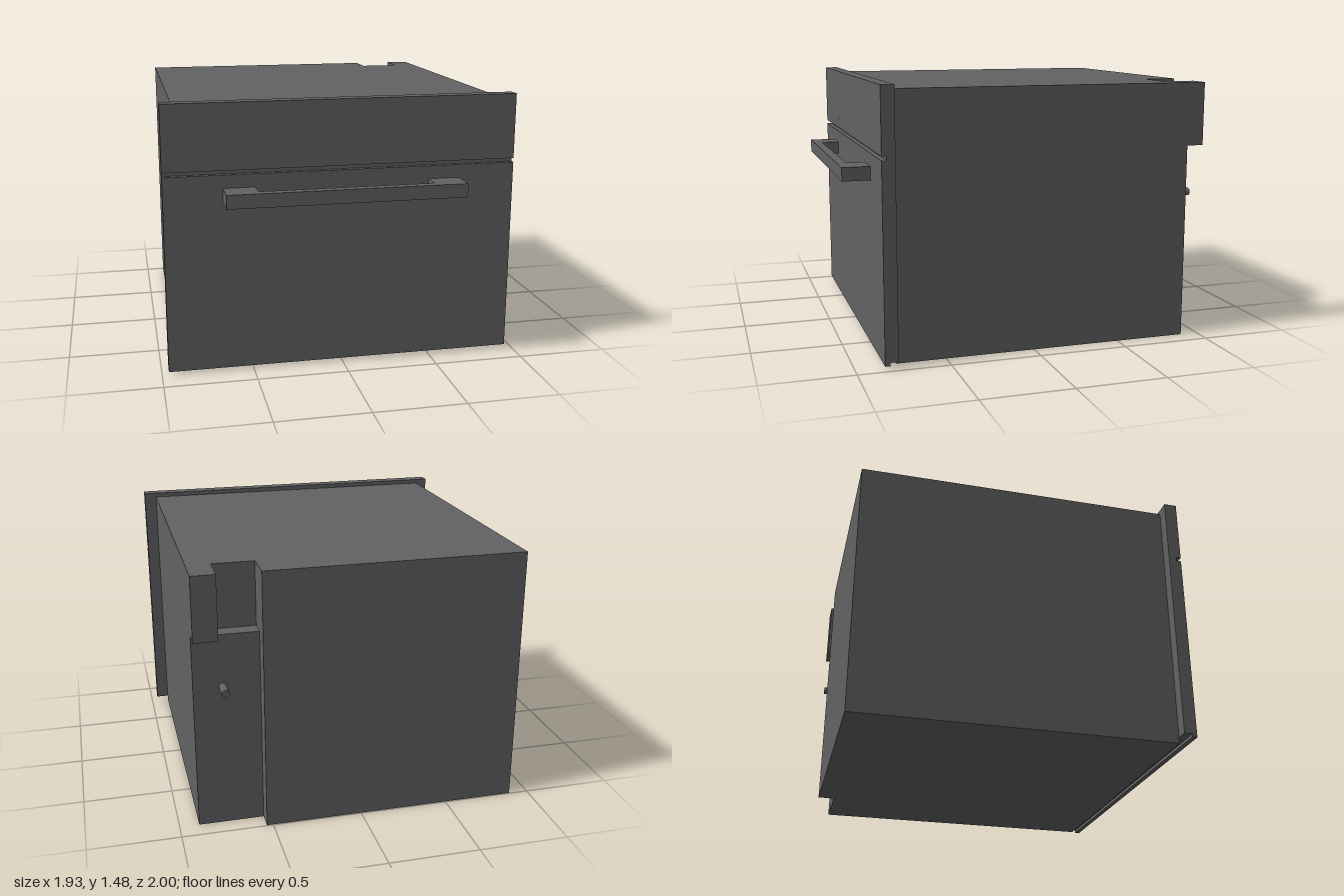
import * as THREE from 'three';

const material = new THREE.MeshStandardMaterial({ color: 0x626264 });

export function createModel() {
  const model = new THREE.Group();
  model.name = 'builtInOven';

  const add = (name, geometry) => {
    const mesh = new THREE.Mesh(geometry, material);
    mesh.name = name;
    model.add(mesh);
    return mesh;
  };

  // Box given by its lower and upper corners
  const box = (name, [x0, y0, z0], [x1, y1, z1]) =>
    add(name, new THREE.BoxGeometry(x1 - x0, y1 - y0, z1 - z0)
      .translate((x0 + x1) / 2, (y0 + y1) / 2, (z0 + z1) / 2));

  // Upright prism from a floor plan of [x, z] points
  const prism = (name, plan, y0, y1) => {
    const shape = new THREE.Shape(plan.map(([x, z]) => new THREE.Vector2(x, -z)));
    const geometry = new THREE.ExtrudeGeometry(shape, { depth: y1 - y0, bevelEnabled: false });
    return add(name, geometry.rotateX(-Math.PI / 2).translate(0, y0, 0));
  };

  // Housing: the lower part has a recessed rear corner, the upper part a slot beside a post
  const W = 0.893, BACK = -0.995, FRONT = 0.775, SPLIT = 1.098;
  prism('lowerHousing', [
    [-W, FRONT], [W, FRONT], [W, -0.9], [0.535, -0.9], [0.535, BACK], [-W, BACK],
  ], 0, SPLIT);
  prism('upperHousing', [
    [-W, FRONT], [W, FRONT], [W, BACK], [0.763, BACK],
    [0.763, -0.81], [0.535, -0.81], [0.535, BACK], [-W, BACK],
  ], SPLIT, 1.45);

  // Cable stub in the rear recess
  add('cableStub', new THREE.CylinderGeometry(0.022, 0.022, 0.1, 24)
    .rotateX(Math.PI / 2).translate(0.735, 0.807, -0.95));

  // Front: backing frame, control panel and door with a narrow gap between them
  const F = 0.963;
  box('frontFrame', [-F, 0.033, FRONT], [F, 1.475, 0.82]);
  box('controlPanel', [-F, 1.117, 0.82], [F, 1.475, 0.847]);
  box('door', [-F, 0.015, 0.82], [F, 1.094, 0.847]);
  box('indicator', [-0.455, 1.165, 0.847], [-0.44, 1.185, 0.849]);

  // Handle: one bracket-shaped bar with wide mounts
  prism('handle', [
    [-0.648, 1], [0.648, 1], [0.648, 0.847], [0.475, 0.847],
    [0.475, 0.95], [-0.475, 0.95], [-0.475, 0.847], [-0.648, 0.847],
  ], 0.947, 1.022);

  return model;
}
